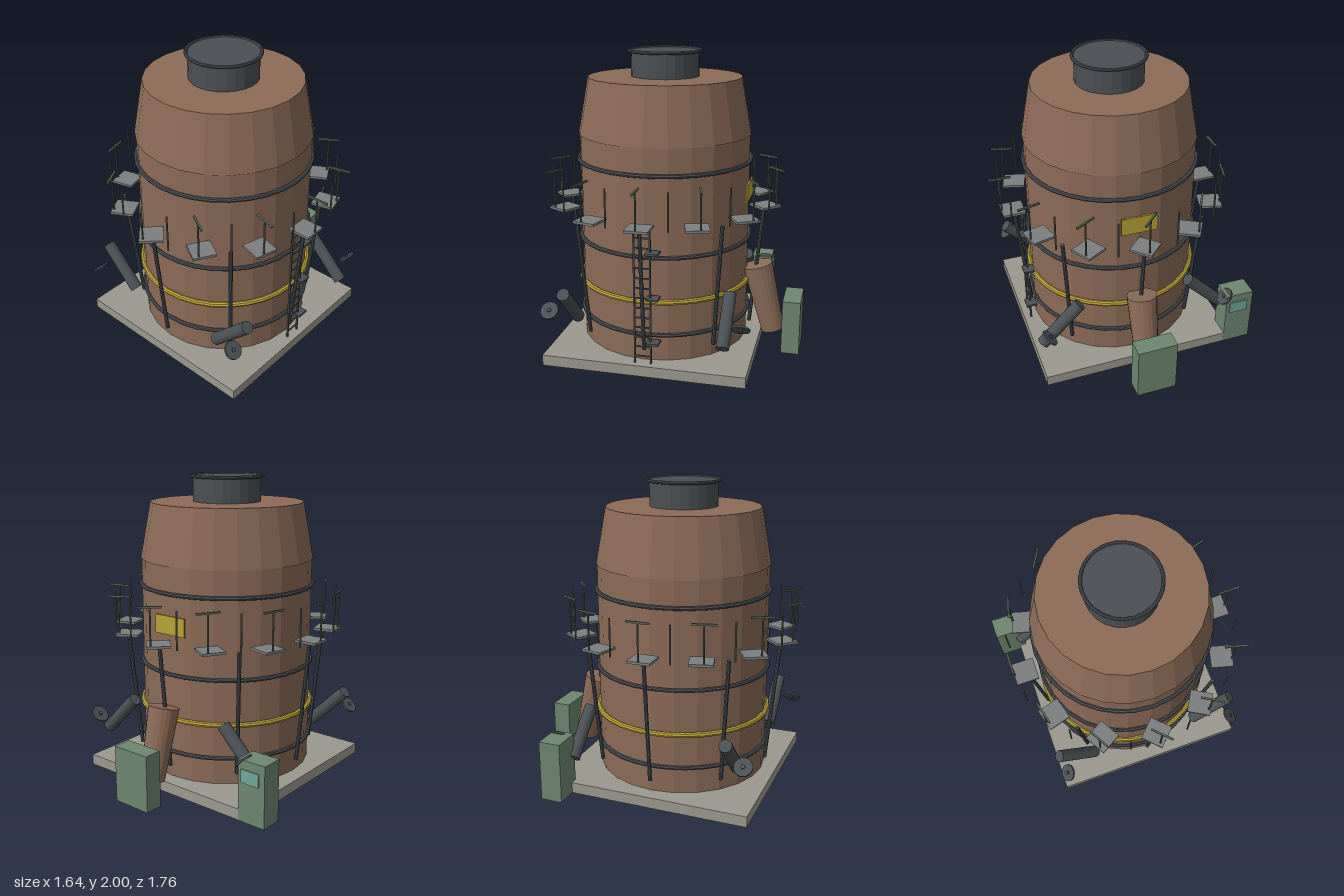
import * as THREE from 'three';

const mat = (color) => new THREE.MeshStandardMaterial({ color, flatShading: true });
const M = {
  brown: mat(0x8c6b57), dark: mat(0x4b5054), slab: mat(0x9b988e), plate: mat(0x7c7e80),
  green: mat(0x6e8670), post: mat(0x5a6b58), yellow: mat(0xb8a234), teal: mat(0x6fa896),
};

export function createModel() {
  const root = new THREE.Group();
  root.name = 'tank';
  // Everything is laid out around the tank axis, then shifted once
  root.position.set(-0.008, 0, 0.068);

  const add = (name, geo, material, x = 0, y = 0, z = 0) => {
    const mesh = new THREE.Mesh(geo, material);
    mesh.name = name;
    mesh.position.set(x, y, z);
    root.add(mesh);
    return mesh;
  };
  const box = (name, m, w, h, d, x, y, z) => add(name, new THREE.BoxGeometry(w, h, d), m, x, y, z);
  const cyl = (name, m, rTop, rBottom, h, x, y, z, sides = 24) =>
    add(name, new THREE.CylinderGeometry(rTop, rBottom, h, sides), m, x, y, z);
  const ring = (name, m, r, tube, y) => {
    const mesh = add(name, new THREE.TorusGeometry(r, tube, 8, 32), m, 0, y, 0);
    mesh.rotation.x = Math.PI / 2;
  };
  // Tapered rod from a (top) to b (bottom)
  const rod = (name, m, a, b, rTop, rBottom, sides) => {
    const top = new THREE.Vector3(...a), bottom = new THREE.Vector3(...b);
    const dir = top.clone().sub(bottom);
    const mid = top.clone().add(bottom).multiplyScalar(0.5);
    const mesh = cyl(name, m, rTop, rBottom, dir.length(), mid.x, mid.y, mid.z, sides);
    mesh.quaternion.setFromUnitVectors(new THREE.Vector3(0, 1, 0), dir.normalize());
    return mesh;
  };

  // Base, body, shoulder and chimney
  box('baseSlab', M.slab, 1.333, 0.072, 1.333, 0, 0.036, 0);
  cyl('body', M.brown, 0.567, 0.567, 1.39, 0, 0.765, 0);
  cyl('shoulder', M.brown, 0.505, 0.573, 0.365, 0, 1.643, 0);
  cyl('chimney', M.dark, 0.223, 0.223, 0.165, 0, 1.907, 0);
  ring('chimneyRim', M.dark, 0.233, 0.011, 1.989);

  // Hoops around the body
  for (const y of [0.25, 0.77, 1.29]) ring('hoop', M.dark, 0.575, 0.014, y);
  ring('yellowHoop', M.yellow, 0.577, 0.018, 0.475);

  // Walkway plates and handrail bars, each turned by half its angle
  for (let i = 0; i < 12; i++) {
    const a = (i * Math.PI) / 6, c = Math.cos(a), s = -Math.sin(a);
    box('walkwayPlate', M.plate, 0.15, 0.016, 0.15, 0.68 * c, 0.99, 0.68 * s).rotation.y = a / 2;
    box('handrail', M.post, 0.15, 0.012, 0.012, 0.75 * c, 1.24, 0.75 * s).rotation.y = a / 2;
  }
  // Handrail posts
  for (let i = 0; i < 24; i++) {
    const a = (i * Math.PI) / 12;
    cyl('railPost', M.post, 0.006, 0.006, 0.245, 0.75 * Math.cos(a), 1.118, -0.75 * Math.sin(a), 6);
  }
  // Leaning struts under the walkway
  for (let i = 0; i < 8; i++) {
    const a = (i * Math.PI) / 4, c = Math.cos(a), s = Math.sin(a);
    rod('strut', M.dark, [0.67 * c, 0.98, 0.67 * s], [0.59 * c, 0.155, 0.59 * s], 0.013, 0.013, 8);
  }

  // Corner drums with end discs: front pair rise outwards, back pair fall outwards
  for (const sx of [-1, 1]) for (const sz of [-1, 1]) {
    const tilt = -sx * sz * Math.PI / 4;
    cyl('cornerDrum', M.dark, 0.042, 0.042, 0.37, sx * 0.515, 0.372, sz * 0.515, 16).rotation.z = tilt;
    cyl('cornerDisc', M.dark, 0.06, 0.06, 0.012, sx * 0.622, 0.372, sz * 0.622, 16).rotation.z = tilt;
    cyl('discHub', M.dark, 0.014, 0.014, 0.03, sx * 0.622, 0.372, sz * 0.622, 8).rotation.z = tilt;
  }

  // Ladder on the +x side
  for (const z of [-0.052, 0.052]) box('ladderRail', M.dark, 0.012, 0.89, 0.01, 0.618, 0.517, z);
  for (let i = 0; i < 13; i++)
    box('ladderRung', M.dark, 0.009, 0.009, 0.104, 0.618, 0.12 + i * 0.066, 0);
  for (const y of [0.22, 0.52, 0.818])
    box('ladderBracket', M.dark, 0.075, 0.014, 0.08, 0.617, y, -0.068);

  // Sloping duct into the rear cabinet
  rod('rearDuct', M.brown, [0, 0.574, -0.64], [0, 0.116, -0.756], 0.1, 0.078, 20);
  box('rearCabinet', M.green, 0.268, 0.37, 0.12, 0, 0.185, -0.888);

  // Control cabinet with its screen
  box('controlCabinet', M.green, 0.194, 0.4, 0.145, -0.715, 0.2, -0.595);
  box('controlScreen', M.teal, 0.13, 0.085, 0.01, -0.707, 0.3, -0.671);

  // Sign plate on the back
  box('signPlate', M.yellow, 0.24, 0.12, 0.012, 0, 1.09, -0.57);

  const group = new THREE.Group();
  group.add(root);
  return group;
}
